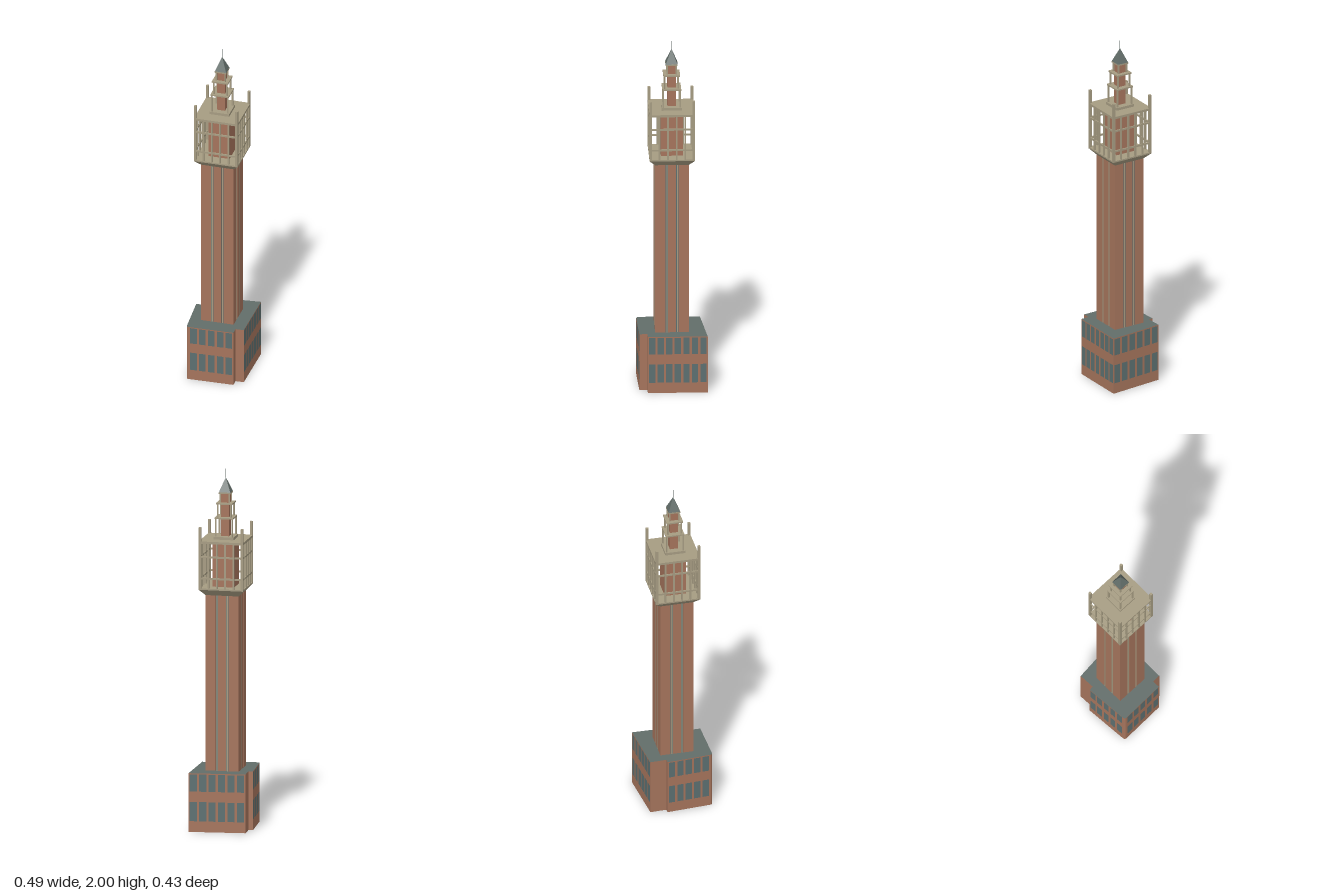
import * as THREE from 'three';

const mat = (name, color, side = THREE.FrontSide) => {
  const m = new THREE.MeshStandardMaterial({ color, side });
  m.name = name;
  return m;
};

export function createModel() {
  const brick = mat('brick', 0xa5745c, THREE.DoubleSide);
  const glass = mat('glass', 0x5c6f70, THREE.DoubleSide);
  const slate = mat('slate', 0x626d69, THREE.DoubleSide);
  const stone = mat('stone', 0xa69c82);

  const model = new THREE.Group();
  model.name = 'clockTower';

  function add(parent, name, geo, material, x = 0, y = 0, z = 0) {
    const mesh = new THREE.Mesh(geo, material);
    mesh.name = name;
    mesh.position.set(x, y, z);
    parent.add(mesh);
    return mesh;
  }
  // Box standing on y0
  const block = (parent, name, material, w, y0, y1, d, x = 0, z = 0) =>
    add(parent, name, new THREE.BoxGeometry(w, y1 - y0, d), material, x, (y0 + y1) / 2, z);
  // Square frustum with flat faces
  function frustum(parent, name, material, bottom, top, y0, y1) {
    const g = new THREE.CylinderGeometry(top / Math.SQRT2, bottom / Math.SQRT2, y1 - y0, 4)
      .rotateY(Math.PI / 4).toNonIndexed();
    g.computeVertexNormals();
    return add(parent, name, g, material, 0, (y0 + y1) / 2, 0);
  }

  // ---- Podium: open-bottomed walls around an angular plan; last value = panes per row
  const H = 0.328;
  const plan = [
    [-0.241, 0.011, 5], [-0.08, 0.204, 0], [-0.046, 0.177, 0], [-0.016, 0.2125, 7],
    [0.243, 0.011, 6], [0.025, -0.216, 0], [-0.043, -0.157, 0], [-0.061, -0.175, 5],
    [-0.239, -0.011, 0], [-0.244, -0.005, 0], [-0.245, 0.004, 0],
  ];
  const podium = new THREE.Group();
  podium.name = 'podium';
  model.add(podium);
  const roof = new THREE.Shape(plan.map(([x, z]) => new THREE.Vector2(x, -z)));
  add(podium, 'podiumRoof', new THREE.ShapeGeometry(roof).rotateX(-Math.PI / 2), slate, 0, H, 0);

  plan.forEach(([ax, az, panes], i) => {
    const [bx, bz] = plan[(i + 1) % plan.length];
    const len = Math.hypot(bx - ax, bz - az);
    const side = new THREE.Group();
    side.name = 'podiumSide';
    side.position.set(ax, 0, az);
    side.rotation.y = Math.atan2(az - bz, bx - ax);
    podium.add(side);
    const rect = (C, x0, y0, x1, y1) => new C([
      new THREE.Vector2(x0, y0), new THREE.Vector2(x1, y0),
      new THREE.Vector2(x1, y1), new THREE.Vector2(x0, y1)]);
    const wall = rect(THREE.Shape, 0, 0, len, H);
    const pitch = len / Math.max(panes, 1);
    for (let p = 0; p < panes; p++) {
      for (const [y0, y1] of [[0.06, 0.168], [0.226, 0.322]]) {
        const x0 = (p + 0.13) * pitch, x1 = (p + 0.87) * pitch;
        wall.holes.push(rect(THREE.Path, x0, y0, x1, y1));
        add(side, 'window', new THREE.PlaneGeometry(x1 - x0, y1 - y0), glass,
          (x0 + x1) / 2, (y0 + y1) / 2, 0);
      }
    }
    add(side, 'podiumWall', new THREE.ShapeGeometry(wall), brick);
  });

  // ---- Tower, turned against the axes
  const tower = new THREE.Group();
  tower.name = 'tower';
  tower.position.x = -0.011;
  tower.rotation.y = THREE.MathUtils.degToRad(38.3);
  model.add(tower);
  const faces = (name, build) => {
    for (let i = 0; i < 4; i++) {
      const g = new THREE.Group();
      g.name = name;
      g.rotation.y = i * Math.PI / 2;
      tower.add(g);
      build(g);
    }
  };

  // Shaft: glazed core with brick piers and slim stone ribs in the recesses
  const S = 0.186;
  block(tower, 'shaftCore', glass, S - 0.008, H, 1.31, S - 0.008);
  faces('shaftFace', (g) => {
    for (const [x, w] of [[-0.0645, 0.057], [0, 0.044], [0.0645, 0.057]])
      block(g, 'brickPier', brick, w, H, 1.31, 0.006, x, S / 2 - 0.003);
    for (const x of [-0.029, 0.029])
      block(g, 'stoneRib', stone, 0.006, H, 1.31, 0.005, x, S / 2 - 0.0025);
  });

  // Flared cornice and belfry
  const B = 0.25;
  frustum(tower, 'cornice', stone, S, B, 1.308, 1.342);
  block(tower, 'belfryFloor', stone, B, 1.342, 1.35, B);
  block(tower, 'belfryCore', brick, 0.12, 1.35, 1.6, 0.12);
  block(tower, 'belfryRoof', stone, B, 1.6, 1.613, B);
  faces('belfryScreen', (g) => {
    const e = B / 2 - 0.006;
    block(g, 'cornerPost', stone, 0.014, 1.345, 1.69, 0.014, B / 2 - 0.007, B / 2 - 0.007);
    for (let i = 1; i < 5; i++)
      block(g, 'column', stone, 0.009, 1.35, 1.6, 0.009, (i / 5 - 0.5) * (B - 0.014), e);
    for (const y of [1.405, 1.525])
      block(g, 'rail', stone, B - 0.02, y - 0.005, y + 0.005, 0.007, 0, e);
  });

  // Lantern: brick core ringed by shrinking tiers on corner posts
  block(tower, 'lanternCore', brick, 0.046, 1.613, 1.87, 0.046);
  block(tower, 'lanternPlinth', stone, 0.112, 1.613, 1.628, 0.112);
  for (const [size, posts, y0, y1] of [
    [0.104, 0.092, 1.628, 1.735], [0.092, 0.074, 1.735, 1.815], [0.066, 0.05, 1.815, 1.873]]) {
    block(tower, 'tierSlab', stone, size, y1 - 0.008, y1, size);
    for (const sx of [-1, 1]) for (const sz of [-1, 1])
      block(tower, 'tierPost', stone, 0.008, y0, y1 - 0.008, 0.008, sx * posts / 2, sz * posts / 2);
  }

  // Spire and mast
  frustum(tower, 'spire', slate, 0.065, 0.0005, 1.873, 1.953);
  add(tower, 'mast', new THREE.CylinderGeometry(0.0015, 0.0015, 0.06, 6), slate, 0, 1.97, 0);

  return model;
}
